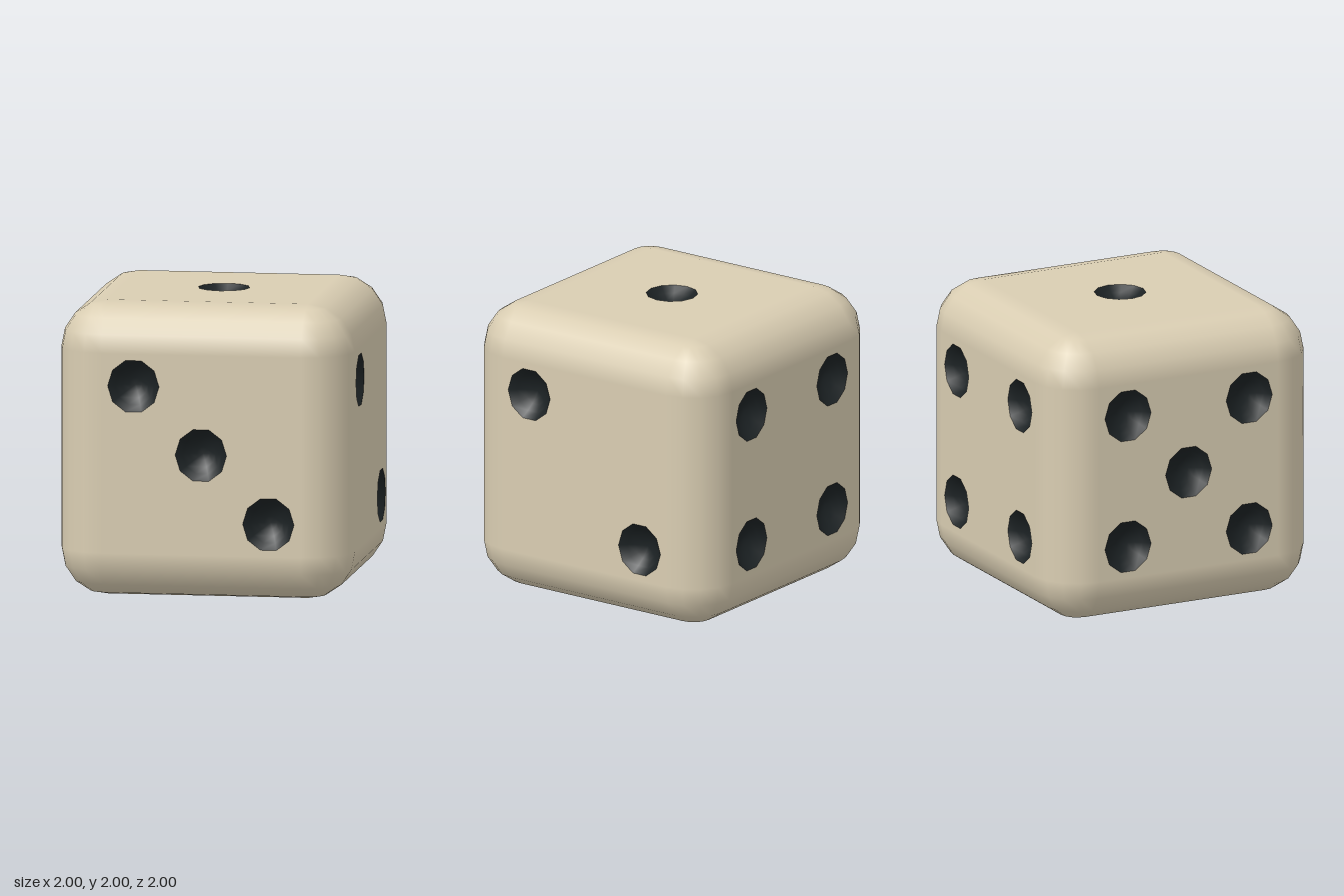
import * as THREE from 'three';
import { mergeGeometries } from 'three/addons/utils/BufferGeometryUtils.js';

const R = 0.32;        // edge rounding
const F = 1 - R;       // half size of the flat part of a face
const P = 0.46;        // pip spacing
const Q = Math.PI / 2;

// Outline of a pip around its centre, counter-clockwise
function pipOutline(sides) {
  const stretch = sides === 10 ? 1.05 : 1;
  return Array.from({ length: sides }, (_, i) => {
    const a = (i / sides) * 2 * Math.PI;
    return new THREE.Vector2(0.175 * Math.cos(a), 0.175 * stretch * Math.sin(a));
  });
}

// Flat face at z = 1 with a hole for every pip
function faceGeometry(pips, sides) {
  const shape = new THREE.Shape([[-F, -F], [F, -F], [F, F], [-F, F]].map(p => new THREE.Vector2(...p)));
  for (const [x, y] of pips) {
    const hole = pipOutline(sides).map(p => new THREE.Vector2(p.x + x, p.y + y));
    shape.holes.push(new THREE.Path(hole.reverse()));
  }
  return new THREE.ShapeGeometry(shape).translate(0, 0, 1);
}

// Shallow bowl sunk behind z = 1, built from shrinking rings
function bowlGeometry(x, y, sides) {
  const depth = 0.1, rings = 4, pos = [], index = [];
  const outline = pipOutline(sides);
  for (let r = 0; r < rings; r++) {
    const s = 1 - r / rings;
    for (const p of outline) pos.push(x + p.x * s, y + p.y * s, 1 - depth * (1 - s * s));
  }
  pos.push(x, y, 1 - depth);
  for (let r = 0; r < rings; r++) {
    for (let i = 0; i < sides; i++) {
      const j = (i + 1) % sides;
      const a = r * sides + i, b = r * sides + j;
      if (r === rings - 1) index.push(a, b, rings * sides);
      else index.push(a, b, b + sides, a, b + sides, a + sides);
    }
  }
  const g = new THREE.BufferGeometry();
  g.setAttribute('position', new THREE.Float32BufferAttribute(pos, 3));
  g.setIndex(index);
  g.computeVertexNormals();
  return g;
}

export function createModel() {
  const model = new THREE.Group();
  model.name = 'die';
  const ivory = new THREE.MeshStandardMaterial({ color: 0xd9cdb2 });
  const black = new THREE.MeshStandardMaterial({ color: 0x1c2224 });
  const bodyParts = [];

  // Rounded edges and corners
  for (let k = 0; k < 4; k++) {
    const edge = () => new THREE.CylinderGeometry(R, R, 2 * F, 4, 1, true, 0, Q)
      .translate(F, 0, F).rotateY(k * Q);
    const corner = () => new THREE.SphereGeometry(R, 4, 4, Q, Q, 0, Q)
      .translate(F, F, F).rotateY(k * Q);
    bodyParts.push(edge(), edge().rotateX(Q), edge().rotateZ(Q), corner(), corner().rotateX(Math.PI));
  }

  // Pip layouts, in each face's own right and up directions
  const two = [[-P, P], [P, -P]];
  const four = [...two, [P, P], [-P, -P]];
  const faces = [
    { name: 'front', pips: [...two, [0, 0]], sides: 10, rx: 0, ry: 0 },
    { name: 'left', pips: two, sides: 10, rx: 0, ry: Q },
    { name: 'back', pips: four, sides: 10, rx: 0, ry: 2 * Q },
    { name: 'right', pips: [...four, [0, 0]], sides: 10, rx: 0, ry: -Q },
    { name: 'top', pips: [[0, 0]], sides: 12, rx: -Q, ry: 0 },
    { name: 'bottom', pips: [...four, [P, 0], [-P, 0]], sides: 12, rx: Q, ry: 0 },
  ];
  for (const { name, pips, sides, rx, ry } of faces) {
    const turn = g => g.rotateX(rx).rotateY(ry);
    bodyParts.push(turn(faceGeometry(pips, sides)));
    const bowls = mergeGeometries(pips.map(([x, y]) => turn(bowlGeometry(x, y, sides))));
    const mesh = new THREE.Mesh(bowls, black);
    mesh.name = name + 'Pips';
    model.add(mesh);
  }

  const body = new THREE.Mesh(mergeGeometries(bodyParts), ivory);
  body.name = 'body';
  model.add(body);

  // Stand on the ground
  for (const mesh of model.children) mesh.position.y = 1;
  return model;
}
